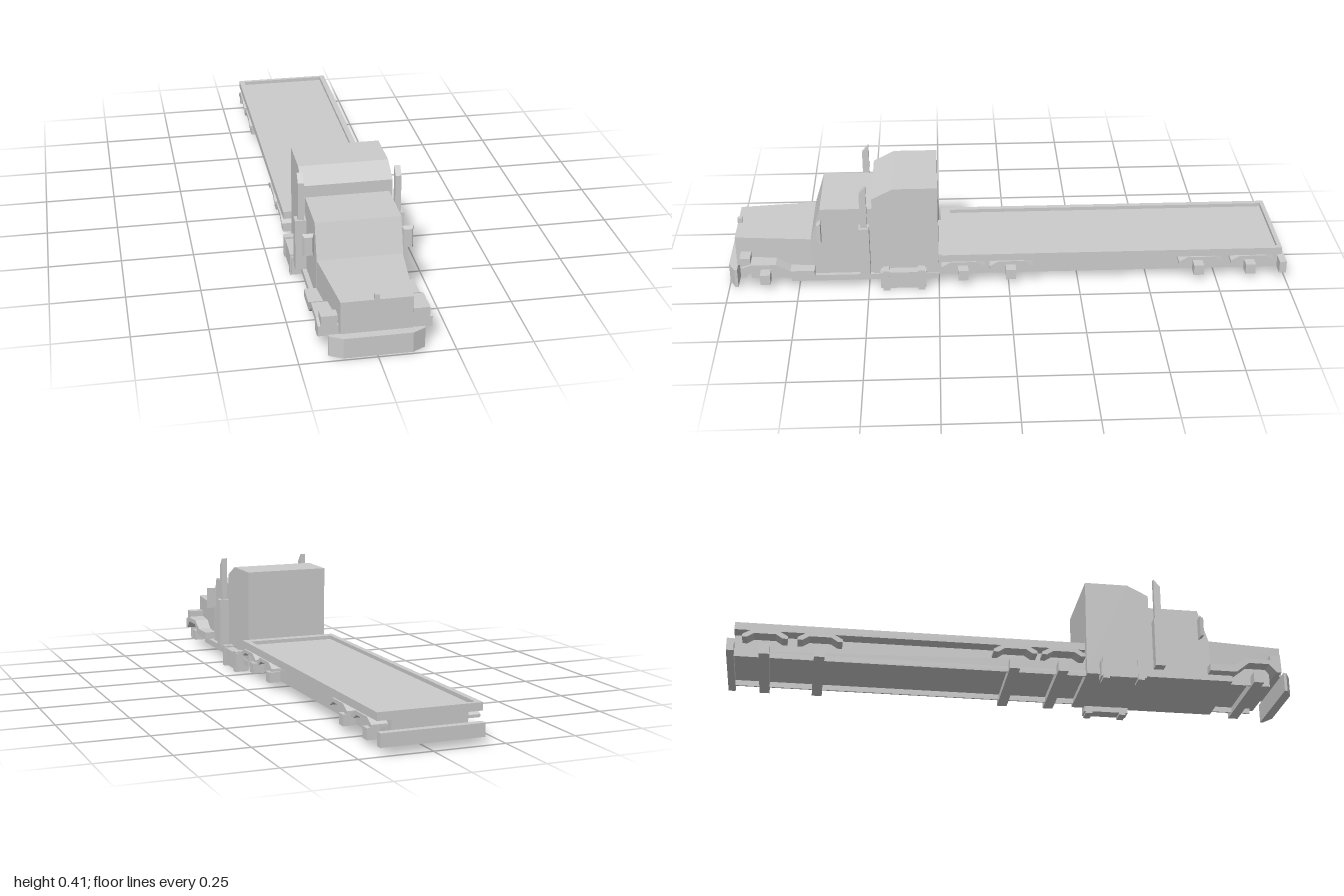
import * as THREE from 'three';

const material = new THREE.MeshStandardMaterial({ color: 0xcccccc, flatShading: true });

export function createModel() {
  const truck = new THREE.Group();

  const add = (name, geometry) => {
    const mesh = new THREE.Mesh(geometry, material);
    mesh.name = name;
    truck.add(mesh);
    return mesh;
  };

  // Box given by its limits on each axis
  const boxGeo = (x0, x1, y0, y1, z0, z1) =>
    new THREE.BoxGeometry(x1 - x0, y1 - y0, z1 - z0)
      .translate((x0 + x1) / 2, (y0 + y1) / 2, (z0 + z1) / 2);
  const box = (name, ...limits) => add(name, boxGeo(...limits));

  // Side profile of [z, y] points, extruded across x
  const profileGeo = (points, x0, x1) => {
    const shape = new THREE.Shape(points.map(([z, y]) => new THREE.Vector2(z, y)));
    return new THREE.ExtrudeGeometry(shape, { depth: x1 - x0, bevelEnabled: false })
      .rotateY(-Math.PI / 2).translate(x1, 0, 0);
  };

  // Outline of [x, z] points, extruded upward
  const planGeo = (points, y0, y1) => {
    const shape = new THREE.Shape(points.map(([x, z]) => new THREE.Vector2(x, -z)));
    return new THREE.ExtrudeGeometry(shape, { depth: y1 - y0, bevelEnabled: false })
      .rotateX(-Math.PI / 2).translate(0, y0, 0);
  };

  // Move vertices by a rule
  const reshape = (geometry, rule) => {
    const pos = geometry.attributes.position;
    const v = new THREE.Vector3();
    for (let i = 0; i < pos.count; i++) {
      rule(v.fromBufferAttribute(pos, i));
      pos.setXYZ(i, v.x, v.y, v.z);
    }
    geometry.computeVertexNormals();
    return geometry;
  };

  // Central frame, full length
  box('frame', -0.13, 0.13, 0.05, 0.11, -0.975, 0.92);

  // Flat bed with a raised rim
  box('deck', -0.165, 0.165, 0.108, 0.122, -0.965, 0.21);
  box('rearRim', -0.18, 0.18, 0.108, 0.135, -0.977, -0.962);
  box('frontRim', -0.18, 0.18, 0.108, 0.135, 0.205, 0.24);

  // Rear bumper
  box('rearBumper', -0.178, 0.178, 0.03, 0.075, -1, -0.975);

  // Full-width wheel arches on the trailer
  const trailerWheels = [-0.872, -0.685, -0.008, 0.163];
  for (const z of trailerWheels) {
    const arch = [
      [-0.077, 0.08], [-0.06, 0.08], [-0.037, 0.095], [0.037, 0.095], [0.06, 0.08],
      [0.077, 0.08], [0.077, 0.09], [0.046, 0.108], [-0.046, 0.108], [-0.077, 0.09],
    ].map(([dz, y]) => [z + dz, y]);
    add('wheelArch', profileGeo(arch, -0.186, 0.186));
  }

  // Axles under every arch
  for (const z of [...trailerWheels, 0.868]) {
    box('axle', -0.173, 0.173, 0.026, 0.064, z - 0.018, z + 0.018);
  }

  // Running board under the cab
  box('runningBoard', -0.157, 0.157, 0.03, 0.052, 0.25, 0.775);

  // Sleeper with sloped roof front
  add('sleeper', profileGeo(
    [[0.25, 0.045], [0.48, 0.045], [0.48, 0.35], [0.405, 0.388], [0.25, 0.388]], -0.153, 0.153));

  // Driver's cab with raked windshield
  add('cab', profileGeo(
    [[0.47, 0.045], [0.7, 0.045], [0.7, 0.19], [0.663, 0.308], [0.47, 0.308]], -0.142, 0.142));

  // Hood narrowing toward the grille
  add('hood', reshape(boxGeo(-0.142, 0.142, 0.078, 0.19, 0.69, 0.97), (v) => {
    if (v.z > 0.9) v.x *= 0.81;
  }));
  box('hoodOrnament', -0.008, 0.008, 0.188, 0.208, 0.955, 0.971);

  // Front bumper with swept ends
  add('frontBumper', planGeo([
    [-0.153, 0.967], [-0.153, 0.977], [-0.11, 1], [0.11, 1], [0.153, 0.977], [0.153, 0.967],
  ], 0.008, 0.078));

  // Front fenders, arched over the wheel and stepping down behind it
  add('frontFender', profileGeo([
    [0.95, 0.065], [0.95, 0.1], [0.915, 0.112], [0.825, 0.112], [0.775, 0.085], [0.69, 0.085],
    [0.69, 0.058], [0.785, 0.058], [0.832, 0.095], [0.905, 0.095], [0.932, 0.065],
  ], -0.182, 0.182));

  for (const side of [-1, 1]) {
    // Box on one side, x measured outward from the centre
    const sideBox = (name, x0, x1, ...rest) =>
      box(name, Math.min(side * x0, side * x1), Math.max(side * x0, side * x1), ...rest);

    sideBox('sideRim', 0.16, 0.18, 0.108, 0.135, -0.977, 0.24);
    sideBox('frameRail', 0.124, 0.13, 0.03, 0.052, -0.975, 0.92);
    sideBox('headlight', 0.12, 0.173, 0.1, 0.135, 0.915, 0.952);

    // Exhaust: wide shield below, slant-cut pipe above
    sideBox('exhaustShield', 0.146, 0.184, 0.065, 0.248, 0.492, 0.528);
    const [x0, x1] = side > 0 ? [0.153, 0.173] : [-0.173, -0.153];
    add('exhaustPipe', profileGeo(
      [[0.498, 0.24], [0.522, 0.24], [0.522, 0.382], [0.498, 0.41]], x0, x1));

    // Mirror with a bevelled housing
    const mirror = boxGeo(-0.019, 0.019, -0.04, 0.04, -0.007, 0.007);
    reshape(mirror, (v) => {
      if (v.z > 0) { v.x *= 0.72; v.y *= 0.82; }
    });
    add('mirror', mirror).position.set(side * 0.164, 0.23, 0.668);

    // Fuel tank with two larger straps
    sideBox('fuelTank', 0.138, 0.187, 0.01, 0.073, 0.295, 0.457);
    for (const z of [0.312, 0.437]) {
      sideBox('tankStrap', 0.137, 0.19, 0.002, 0.08, z - 0.012, z + 0.012);
    }
  }

  return truck;
}
